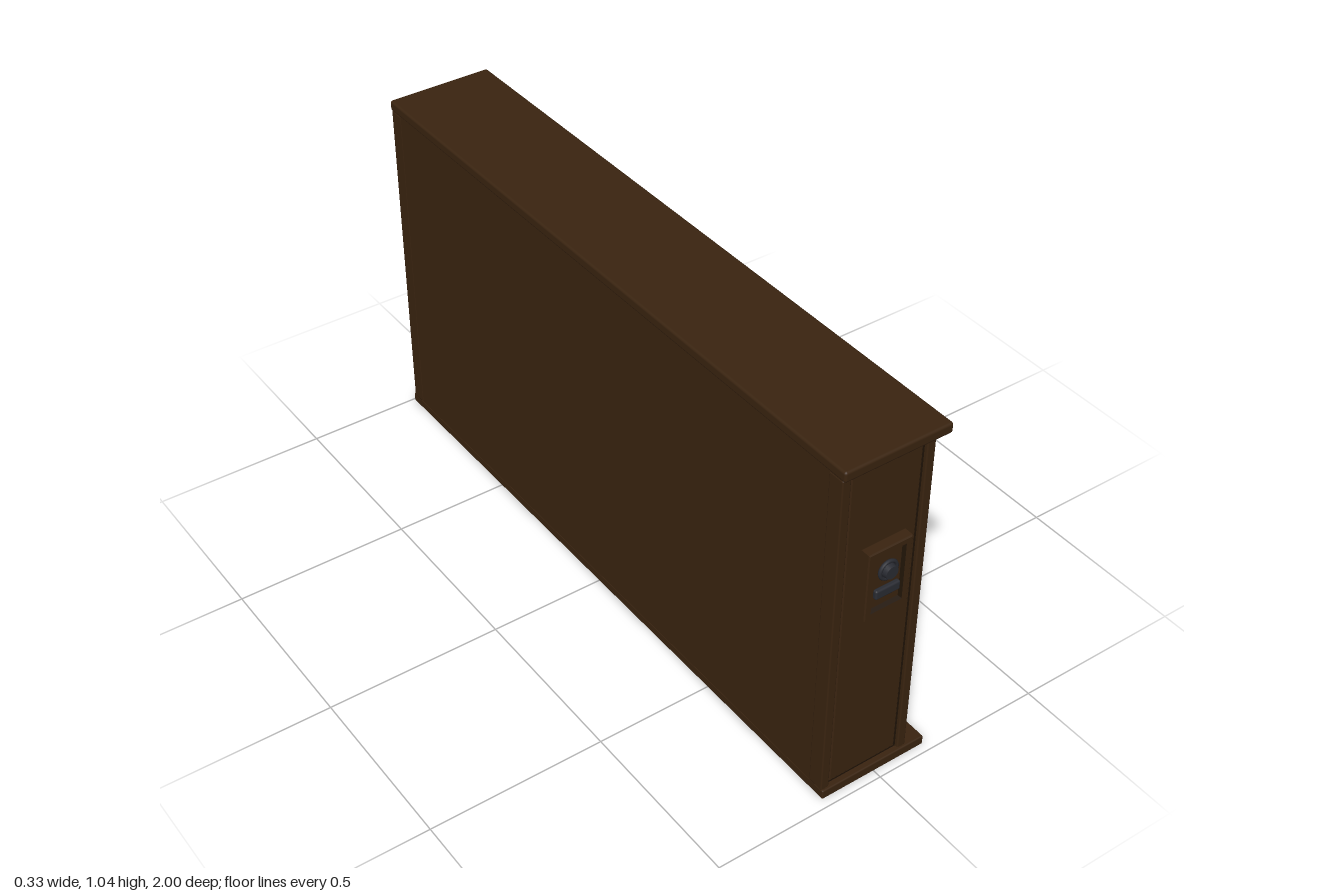
import * as THREE from 'three';
import { RoundedBoxGeometry } from 'three/addons/geometries/RoundedBoxGeometry.js';

const CZ = -0.01; // middle of the cabinet along z

// Rectangular rings [halfWidth, halfHeight, depth] joined outside to inside, facing +z.
function ringLoft(rings, cap) {
  const pos = [];
  const corners = ([w, h, d]) => [[-w, -h, d], [w, -h, d], [w, h, d], [-w, h, d]];
  const quad = (a, b, c, d) => pos.push(...a, ...b, ...c, ...a, ...c, ...d);
  for (let i = 0; i < rings.length - 1; i++) {
    const a = corners(rings[i]), b = corners(rings[i + 1]);
    for (let k = 0; k < 4; k++) {
      const n = (k + 1) % 4;
      quad(a[k], a[n], b[n], b[k]);
    }
  }
  if (cap) quad(...corners(rings[rings.length - 1]));
  const g = new THREE.BufferGeometry();
  g.setAttribute('position', new THREE.Float32BufferAttribute(pos, 3));
  g.computeVertexNormals();
  return g;
}

export function createModel() {
  const root = new THREE.Group();
  root.name = 'cabinet';
  const mat = (name, color) => {
    const m = new THREE.MeshStandardMaterial({ color });
    m.name = name;
    return m;
  };
  const wood = mat('dark wood', 0x3a2410);
  const groove = mat('groove wood', 0x211407);
  const metal = mat('dark metal', 0x2a2c33);

  const add = (parent, name, geo, material, x = 0, y = 0, z = 0) => {
    const m = new THREE.Mesh(geo, material);
    m.name = name;
    m.position.set(x, y, z);
    parent.add(m);
    return m;
  };
  // Box given by its limits, with optional rounded edges
  const box = (name, x0, x1, y0, y1, z0, z1, r = 0) => {
    const s = [x1 - x0, y1 - y0, z1 - z0];
    const g = r ? new RoundedBoxGeometry(...s, 2, r) : new THREE.BoxGeometry(...s);
    return add(root, name, g, wood, (x0 + x1) / 2, (y0 + y1) / 2, (z0 + z1) / 2);
  };

  // Carcass with overhanging top and base
  box('carcass', -0.16, 0.1, 0.02, 1.02, CZ - 0.967, CZ + 0.967);
  box('backPanel', -0.164, -0.155, 0.02, 1.02, CZ - 0.975, CZ + 0.975);
  box('topSlab', -0.165, 0.148, 1.01, 1.04, CZ - 0.985, CZ + 0.985, 0.007);
  box('baseSlab', -0.165, 0.16, 0, 0.028, CZ - 0.985, CZ + 0.985, 0.004);

  // Corner posts and end panels, mirrored front to back
  for (const s of [1, -1]) {
    const end = s > 0 ? 'front' : 'rear';
    for (const [name, x0, x1] of [['BackPost', -0.165, -0.14], ['DoorPost', 0.08, 0.105]]) {
      const za = CZ + s * 0.93, zb = CZ + s * 0.978;
      box(end + name, x0, x1, 0.025, 1.012, Math.min(za, zb), Math.max(za, zb), 0.004);
    }
    const g = new THREE.Group();
    g.name = end + 'EndPanel';
    g.position.set(-0.03, 0.519, CZ + s * 0.967);
    if (s < 0) g.rotation.y = Math.PI;
    root.add(g);
    add(g, 'endPanelGroove', ringLoft([[0.11, 0.492, 0.001], [0.104, 0.486, 0.001]]), groove);
    add(g, 'endPanelFace', ringLoft([[0.104, 0.486, 0], [0.1, 0.48, 0.004]], true), wood);
  }

  // Pair of framed doors with bow handles
  const handlePath = new THREE.CurvePath();
  const v = (x, y) => new THREE.Vector3(x, y, 0);
  handlePath.add(new THREE.LineCurve3(v(0.125, 0.446), v(0.142, 0.446)));
  handlePath.add(new THREE.QuadraticBezierCurve3(v(0.142, 0.446), v(0.155, 0.446), v(0.155, 0.462)));
  handlePath.add(new THREE.LineCurve3(v(0.155, 0.462), v(0.155, 0.576)));
  handlePath.add(new THREE.QuadraticBezierCurve3(v(0.155, 0.576), v(0.155, 0.592), v(0.142, 0.592)));
  handlePath.add(new THREE.LineCurve3(v(0.142, 0.592), v(0.125, 0.592)));
  const handleGeo = new THREE.TubeGeometry(handlePath, 40, 0.01, 10);
  handleGeo.scale(1, 1, 0.8);

  for (const s of [1, -1]) {
    const side = s > 0 ? 'front' : 'rear';
    const door = new THREE.Group();
    door.name = side + 'Door';
    door.position.set(0.1, 0.52, CZ + s * 0.477);
    door.rotation.y = Math.PI / 2;
    root.add(door);
    add(door, 'doorFrame', ringLoft([
      [0.473, 0.49, 0], [0.473, 0.49, 0.029], [0.467, 0.484, 0.035],
      [0.403, 0.424, 0.035], [0.401, 0.422, 0.032],
      [0.393, 0.414, 0.032], [0.382, 0.403, 0.024],
    ]), wood);
    add(door, 'panelGroove', ringLoft([[0.382, 0.403, 0.024], [0.376, 0.397, 0.023]]), groove);
    add(door, 'doorPanel', ringLoft([[0.376, 0.397, 0.023], [0.368, 0.389, 0.027]], true), wood);
    add(root, side + 'Handle', handleGeo, metal, 0, 0, CZ + s * 0.033);
  }

  // Lock plate on the front end
  const lock = new THREE.Group();
  lock.name = 'lockPlate';
  lock.position.set(-0.023, 0.668, 0.955);
  root.add(lock);
  add(lock, 'plateFrame', ringLoft([
    [0.065, 0.102, 0], [0.065, 0.102, 0.031], [0.062, 0.099, 0.034], [0.047, 0.085, 0.034],
  ]), wood);
  add(lock, 'plateRecessEdge', ringLoft([[0.047, 0.085, 0.034], [0.042, 0.078, 0.025]]), groove);
  add(lock, 'plateRecess', ringLoft([[0.042, 0.078, 0.025]], true), wood);
  add(lock, 'knobRing', new THREE.TorusGeometry(0.025, 0.005, 8, 28), metal, 0, 0.027, 0.03);
  const knob = new THREE.CylinderGeometry(0.018, 0.021, 0.02, 28);
  knob.rotateX(Math.PI / 2);
  add(lock, 'knob', knob, metal, 0, 0.027, 0.035);
  add(lock, 'latchBar', new RoundedBoxGeometry(0.074, 0.027, 0.014, 2, 0.005), metal, 0, -0.034, 0.03);

  return root;
}
